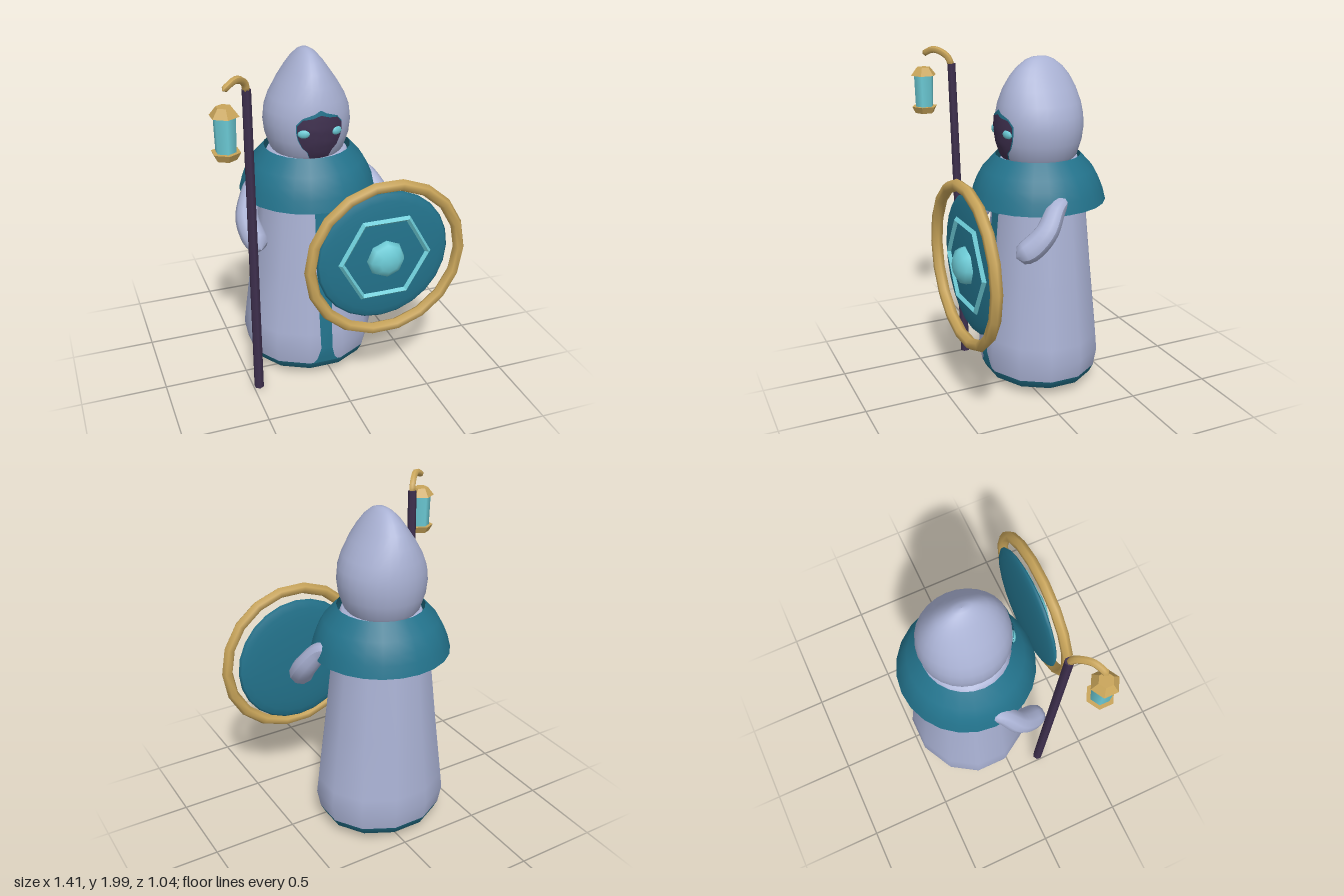
import * as THREE from 'three';

const mat = (name, color, side = THREE.FrontSide) => {
  const m = new THREE.MeshStandardMaterial({ color, side });
  m.name = name;
  return m;
};

// Smooth surface through elliptical cross-sections [y, rx, rz], listed from bottom to top
function loft(levels, sides, phase = 0) {
  const pos = [], idx = [];
  for (const [y, rx, rz] of levels) {
    for (let i = 0; i < sides; i++) {
      const a = ((i + phase) / sides) * Math.PI * 2;
      pos.push(rx * Math.sin(a), y, rz * Math.cos(a));
    }
  }
  for (let l = 0; l < levels.length - 1; l++) {
    for (let i = 0; i < sides; i++) {
      const a = l * sides + i, b = l * sides + ((i + 1) % sides);
      idx.push(a, b, b + sides, a, b + sides, a + sides);
    }
  }
  return surface(pos, idx);
}

function surface(pos, idx) {
  const g = new THREE.BufferGeometry();
  g.setAttribute('position', new THREE.Float32BufferAttribute(pos, 3));
  g.setIndex(idx);
  g.computeVertexNormals();
  return g;
}

// Front depth of a lofted form at (x, y)
function frontZ(levels, x, y) {
  let i = 0;
  while (i < levels.length - 2 && levels[i + 1][0] < y) i++;
  const [y0, a0, b0] = levels[i], [y1, a1, b1] = levels[i + 1];
  const t = (y - y0) / (y1 - y0);
  const rx = a0 + (a1 - a0) * t, rz = b0 + (b1 - b0) * t;
  return rz * Math.sqrt(Math.max(0, 1 - (x / rx) ** 2));
}

// Thin mirrored patch laid on the front of a lofted form; half outline runs top to bottom
function patch(levels, half, cy, offset) {
  const mirrored = half.filter(p => p[0] > 0).map(([x, y]) => [-x, y]);
  const outline = [...half.slice().reverse(), ...mirrored];
  const n = outline.length, rings = 6;
  const pos = [0, cy, frontZ(levels, 0, cy) + offset], idx = [];
  for (let r = 1; r <= rings; r++) {
    for (const [px, py] of outline) {
      const x = px * r / rings, y = cy + (py - cy) * r / rings;
      pos.push(x, y, frontZ(levels, x, y) + offset);
    }
  }
  for (let i = 0; i < n; i++) {
    const j = (i + 1) % n;
    idx.push(0, 1 + i, 1 + j);
    for (let r = 0; r < rings - 1; r++) {
      const a = 1 + r * n + i, b = 1 + r * n + j;
      idx.push(a, a + n, b + n, a, b + n, b);
    }
  }
  return surface(pos, idx);
}

// Closed tube whose thickness follows radius(u)
function taperedTube(points, radius, segments, sides) {
  const curve = new THREE.CatmullRomCurve3(points.map(p => new THREE.Vector3(...p)));
  const g = new THREE.TubeGeometry(curve, segments, 1, sides);
  const p = g.attributes.position, v = new THREE.Vector3();
  for (let i = 0; i < p.count; i++) {
    const u = Math.floor(i / (sides + 1)) / segments;
    const c = curve.getPointAt(u);
    v.fromBufferAttribute(p, i).sub(c).multiplyScalar(radius(u)).add(c);
    p.setXYZ(i, v.x, v.y, v.z);
  }
  g.computeVertexNormals();
  return g;
}

export function createModel() {
  const cloth = mat('lavender cloth', 0xa9b1d3);
  const teal = mat('teal cloth', 0x23738c, THREE.DoubleSide);
  const cyan = mat('bright cyan', 0x6ccbd6);
  const gold = mat('gold', 0xc9a55a);
  const dark = mat('dark purple', 0x3f304f);

  const root = new THREE.Group();
  const figure = new THREE.Group();
  figure.name = 'figure';
  figure.position.set(-0.05, 0, -0.13);
  root.add(figure);
  const add = (parent, name, geometry, material, x = 0, y = 0, z = 0) => {
    const m = new THREE.Mesh(geometry, material);
    m.name = name;
    m.position.set(x, y, z);
    parent.add(m);
    return m;
  };

  // Robe and hem
  const k = 1 / Math.cos(Math.PI / 12);
  const widen = levels => levels.map(([y, a, b]) => [y, a * k, b * k]);
  const robe = widen([[0.11, 0.37, 0.337], [0.22, 0.39, 0.355], [0.32, 0.378, 0.347],
    [0.7, 0.33, 0.31], [1.15, 0.278, 0.27], [1.32, 0.25, 0.25], [1.4, 0.22, 0.22], [1.41, 0.001, 0.001]]);
  const hem = widen([[0.004, 0.001, 0.001], [0.02, 0.24, 0.24], [0.06, 0.345, 0.315], [0.11, 0.37, 0.337]]);
  add(figure, 'robe', loft(robe, 12, 0.5), cloth);
  add(figure, 'hem', loft(hem, 12, 0.5), teal);

  // Front stripe, flaring into the hem
  const stripe = [[0.11, 0.08], [0.14, 0.055], [0.22, 0.035], [0.45, 0.04], [0.7, 0.045], [1.15, 0.045]];
  const sp = [], si = [];
  stripe.forEach(([y, w], i) => {
    const z = frontZ(robe, 0, y) / k + 0.005;
    sp.push(-w, y, z, w, y, z);
    if (i) si.push(2 * i - 2, 2 * i - 1, 2 * i + 1, 2 * i - 2, 2 * i + 1, 2 * i);
  });
  add(figure, 'robeStripe', surface(sp, si), teal);

  // Shoulder cape
  const cape = [[0.4, 1.15], [0.382, 1.22], [0.36, 1.275], [0.327, 1.335], [0.25, 1.42]];
  add(figure, 'cape', new THREE.LatheGeometry(cape.map(p => new THREE.Vector2(...p)), 24), teal, 0, 0, 0.007);

  // Hood, narrow from the front and round from the side
  const hood = [[1.34, 0.001, 0.001], [1.36, 0.17, 0.18], [1.42, 0.215, 0.226], [1.5, 0.241, 0.25],
    [1.58, 0.25, 0.26], [1.65, 0.242, 0.257], [1.72, 0.215, 0.246], [1.8, 0.168, 0.22],
    [1.87, 0.12, 0.182], [1.92, 0.085, 0.14], [1.96, 0.048, 0.088], [1.975, 0.025, 0.05], [1.98, 0.001, 0.001]];
  add(figure, 'hood', loft(hood, 28), cloth);
  const face = [[0, 1.668], [0.05, 1.652], [0.1, 1.645], [0.128, 1.61], [0.13, 1.57], [0.122, 1.53],
    [0.1, 1.48], [0.07, 1.45], [0.055, 1.41], [0, 1.405]];
  const faceTrim = [[0, 1.695], [0.035, 1.675], [0.1, 1.652], [0.132, 1.615], [0.133, 1.57], [0.125, 1.53],
    [0.102, 1.48], [0.072, 1.45], [0.057, 1.41], [0, 1.405]];
  add(figure, 'faceTrim', patch(hood, faceTrim, 1.55, 0.004), teal);
  add(figure, 'face', patch(hood, face, 1.55, 0.008), dark);

  // Eyes and arms, mirrored
  for (const s of [-1, 1]) {
    const eye = add(figure, s > 0 ? 'leftEye' : 'rightEye', new THREE.SphereGeometry(1, 10, 6), cyan,
      s * 0.095, 1.567, frontZ(hood, 0.095, 1.567) + 0.004);
    eye.scale.set(0.036, 0.025, 0.015);
    eye.rotation.set(0, s * 0.38, s * -0.1);
    const path = [[0.33, 1.23, -0.02], [0.36, 1.19, 0.06], [0.41, 1.07, 0.15], [0.395, 0.98, 0.24], [0.375, 0.94, 0.32]];
    const radius = u => (0.05 + 0.03 * u) * Math.sqrt(Math.max(0, 1 - Math.abs(2 * u - 1) ** 5));
    add(figure, s > 0 ? 'leftArm' : 'rightArm',
      taperedTube(path.map(([x, y, z]) => [s * x, y, z]), radius, 16, 10), cloth);
  }

  // Staff with a curled hook
  const foot = new THREE.Vector3(-0.472, 0.02, 0.197), tip = new THREE.Vector3(-0.49, 1.9, 0.236);
  const dir = tip.clone().sub(foot);
  const staff = add(root, 'staff', new THREE.CylinderGeometry(0.025, 0.029, dir.length(), 6), dark);
  staff.position.copy(foot).add(tip).multiplyScalar(0.5);
  staff.quaternion.setFromUnitVectors(new THREE.Vector3(0, 1, 0), dir.normalize());
  const hook = [[-0.488, 1.88, 0.235], [-0.505, 1.94, 0.255], [-0.565, 1.978, 0.315], [-0.642, 1.945, 0.362]];
  add(root, 'staffHook', taperedTube(hook, u => (u === 0 || u === 1 ? 0.001 : 0.02), 14, 6), gold);

  // Lantern
  const lantern = new THREE.Group();
  lantern.name = 'lantern';
  lantern.position.set(-0.64, 0, 0.362);
  root.add(lantern);
  const hex = (top, bottom, h) => new THREE.CylinderGeometry(top, bottom, h, 6).toNonIndexed();
  const flat = g => { g.computeVertexNormals(); return g; };
  add(lantern, 'lanternCap', flat(hex(0.042, 0.079, 0.047)), gold, 0, 1.842, 0);
  add(lantern, 'lanternGlass', new THREE.CylinderGeometry(0.06, 0.055, 0.2, 6), cyan, 0, 1.72, 0);
  add(lantern, 'lanternBase', flat(hex(0.079, 0.058, 0.04)), gold, 0, 1.61, 0);

  // Shield: lens-shaped disc, separate rim, hexagon band and boss
  const shield = new THREE.Group();
  shield.name = 'shield';
  shield.position.set(0.219, 0.9, 0.405);
  root.add(shield);
  const disc = add(shield, 'shieldDisc', new THREE.SphereGeometry(1, 24, 12).rotateX(Math.PI / 2), teal);
  disc.scale.set(0.396, 0.396, 0.043);
  add(shield, 'shieldRim', new THREE.TorusGeometry(0.449, 0.034, 6, 18), gold, 0, 0, 0.048);
  add(shield, 'shieldHexagon', flat(new THREE.TorusGeometry(0.262, 0.018, 4, 6).toNonIndexed()), cyan, 0, 0, 0.035);
  const boss = add(shield, 'shieldBoss', new THREE.SphereGeometry(1, 8, 6).rotateX(Math.PI / 2), cyan, 0, 0, 0.04);
  boss.scale.set(0.113, 0.113, 0.072);

  return root;
}
